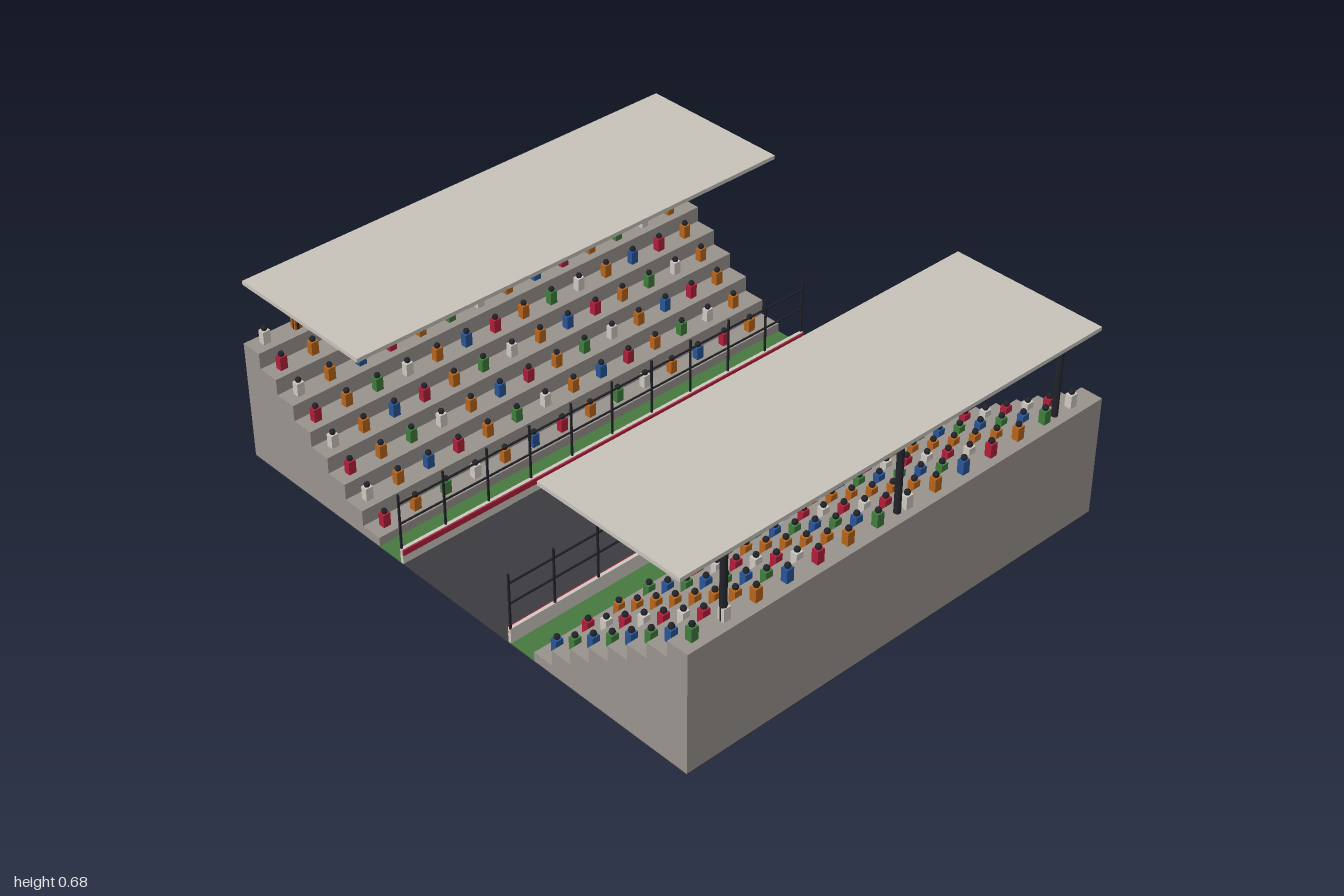
import * as THREE from 'three';

const mat = (name, color, side = THREE.FrontSide) => {
  const m = new THREE.MeshStandardMaterial({ color, side });
  m.name = name;
  return m;
};

export function createModel() {
  const root = new THREE.Group();
  root.name = 'trackGrandstands';
  const M = {
    asphalt: mat('asphalt', 0x3c3b41),
    grass: mat('grass', 0x477a3f),
    concrete: mat('concrete', 0x9a948e),
    roof: mat('roof panel', 0xc8c4bc),
    steel: mat('dark steel', 0x22232a),
    red: mat('red', 0xb01f3a),
    blue: mat('blue', 0x285596),
    orange: mat('orange', 0xb8651c),
    green: mat('green', 0x3f7d3c),
    white: mat('off white', 0xcfcac2),
  };
  // reuse the steel tone for heads so the palette stays at ten colours
  const L = 1.714, HALF = L / 2;

  const add = (parent, name, geo, material, x, y, z) => {
    const mesh = new THREE.Mesh(geo, material);
    mesh.name = name;
    mesh.position.set(x, y, z);
    parent.add(mesh);
    return mesh;
  };
  const box = (parent, name, material, w, h, d, x, y, z) =>
    add(parent, name, new THREE.BoxGeometry(w, h, d), material, x, y, z);

  // Track
  box(root, 'trackBase', M.asphalt, 2, 0.003, L, 0, 0.0015, 0);

  // Stepped terrace profile: eight treads rising outwards
  const ROWS = 8, X0 = 0.36, TREAD = 0.08;
  const stepTop = (r) => 0.036 + r * 0.0566;
  const profile = new THREE.Shape();
  profile.moveTo(X0, 0.003);
  profile.lineTo(1, 0.003);
  profile.lineTo(1, stepTop(ROWS - 1));
  for (let r = ROWS - 1; r >= 0; r--) {
    profile.lineTo(X0 + r * TREAD, stepTop(r));
    if (r > 0) profile.lineTo(X0 + r * TREAD, stepTop(r - 1));
  }
  const terraceGeo = new THREE.ExtrudeGeometry(profile, { depth: L, bevelEnabled: false });
  terraceGeo.translate(0, 0, -HALF);

  const bodyGeo = new THREE.BoxGeometry(0.024, 0.046, 0.027);
  const headGeo = new THREE.SphereGeometry(0.0105, 8, 6);
  const postGeo = new THREE.CylinderGeometry(0.0115, 0.0115, 0.663 - stepTop(7), 10);
  const fencePostGeo = new THREE.BoxGeometry(0.006, 0.205, 0.006);
  const shirts = [M.red, M.blue, M.orange, M.white, M.green, M.orange];

  for (const s of [1, -1]) {
    const side = new THREE.Group();
    side.name = s > 0 ? 'leftSide' : 'rightSide';
    root.add(side);

    box(side, 'grassVerge', M.grass, 0.12, 0.004, L, s * 0.305, 0.0025, 0);

    // The profile is turned half round for the opposite terrace
    const terrace = add(side, 'terrace', terraceGeo, M.concrete, 0, 0, 0);
    if (s < 0) terrace.rotation.y = Math.PI;

    // Roof and its rear columns
    box(side, 'roof', M.roof, 0.57, 0.014, L, s * 0.685, 0.67, 0);
    for (const z of [-0.686, 0, 0.686])
      add(side, 'roofColumn', postGeo, M.steel, s * 0.958, (0.663 + stepTop(7)) / 2, z);

    // Trackside wall with a painted band
    box(side, 'trackWall', M.white, 0.012, 0.056, L, s * 0.251, 0.03, 0);
    box(side, 'wallBand', M.red, 0.006, 0.02, L, s * 0.243, 0.046, 0);

    // Safety fence
    const fence = new THREE.Group();
    fence.name = 'safetyFence';
    side.add(fence);
    for (let i = 0; i <= 10; i++)
      add(fence, 'fencePost', fencePostGeo, M.steel, s * 0.253, 0.1575, -HALF + 0.003 + i * (L - 0.006) / 10);
    for (const y of [0.15, 0.225])
      box(fence, 'fenceRail', M.steel, 0.005, 0.005, L, s * 0.253, y, 0);

    // Spectators, one shirt colour after another along every row
    const crowd = new THREE.Group();
    crowd.name = 'crowd';
    side.add(crowd);
    for (let r = 0; r < ROWS; r++) {
      const x = s * (X0 + (r + 0.5) * TREAD), y = stepTop(r);
      for (let j = 0; j < 14; j++) {
        const z = -0.757 + j * 0.12;
        const shirt = shirts[(j + 3 * r + (s > 0 ? 0 : 5)) % 6];
        add(crowd, 'spectatorBody', bodyGeo, shirt, x, y + 0.023, z);
        add(crowd, 'spectatorHead', headGeo, M.steel, x, y + 0.053, z);
      }
    }
  }
  return root;
}
